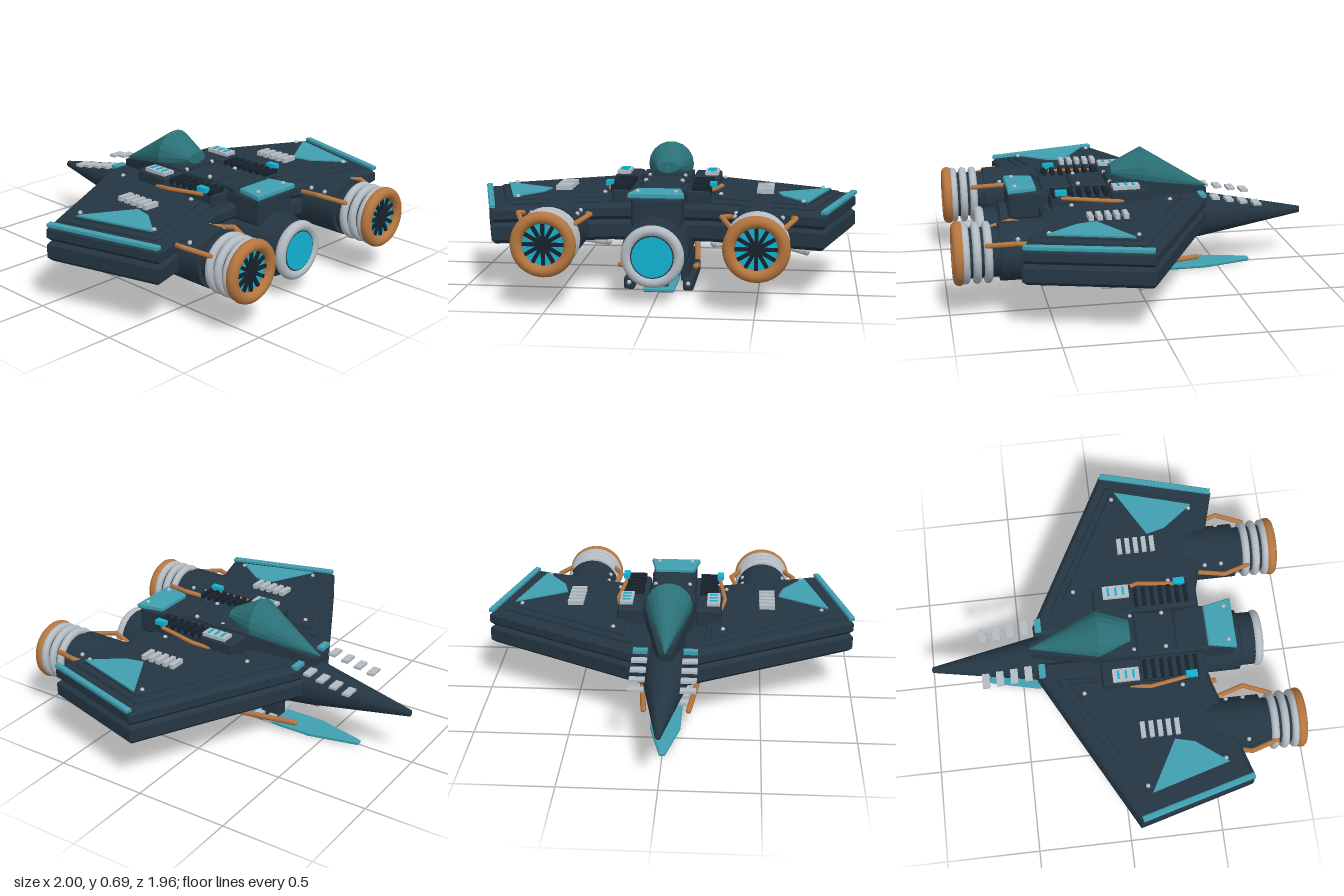
import * as THREE from 'three';
import { toCreasedNormals } from 'three/addons/utils/BufferGeometryUtils.js';
import { RoundedBoxGeometry } from 'three/addons/geometries/RoundedBoxGeometry.js';

const paint = (name, color) => {
  const m = new THREE.MeshStandardMaterial({ color });
  m.name = name;
  return m;
};
const M = {
  hull: paint('navy hull', 0x243643),
  trim: paint('black trim', 0x17222b),
  belly: paint('belly grey', 0x41444e),
  teal: paint('teal panel', 0x3f9fb0),
  glass: paint('canopy teal', 0x2a7076),
  copper: paint('copper', 0xb5763f),
  metal: paint('light metal', 0xb4bcc3),
  glow: paint('cyan glow', 0x12b2d2),
};

export function createModel() {
  const root = new THREE.Group();
  root.name = 'spacecraft';

  const add = (name, geo, mat, x = 0, y = 0, z = 0, parent = root) => {
    const m = new THREE.Mesh(geo, mat);
    m.name = name;
    m.position.set(x, y, z);
    parent.add(m);
    return m;
  };
  const box = (name, mat, w, h, d, x, y, z, r = 0) =>
    add(name, r ? new RoundedBoxGeometry(w, h, d, 2, r) : new THREE.BoxGeometry(w, h, d), mat, x, y, z);
  const bolt = (x, y, z, r = 0.012) => add('bolt', new THREE.SphereGeometry(r, 8, 6), M.metal, x, y, z);

  // Plan outline [x, z] raised from y0 to y1 with bevelled edges
  const slab = (name, mat, pts, y0, y1, bevel, s = 1) => {
    const shape = new THREE.Shape(pts.map(([x, z]) => new THREE.Vector2(x * s, -z)));
    const geo = new THREE.ExtrudeGeometry(shape, {
      depth: y1 - y0 - 2 * bevel, bevelEnabled: bevel > 0, bevelSize: bevel,
      bevelThickness: bevel, bevelOffset: -bevel, bevelSegments: 1,
    });
    geo.rotateX(-Math.PI / 2);
    return add(name, geo, mat, 0, y0 + bevel, 0);
  };

  // Skin over cross-sections [z, centreY, radiusX, radiusY], listed in rising z
  const loft = (name, mat, rows, n, turn = 0, crease = 0.5) => {
    const pos = [], idx = [];
    rows.forEach(([z, cy, rx, ry]) => {
      for (let j = 0; j < n; j++) {
        const a = turn + (j / n) * Math.PI * 2;
        pos.push(Math.cos(a) * rx, cy + Math.sin(a) * ry, z);
      }
    });
    for (let i = 0; i < rows.length - 1; i++)
      for (let j = 0; j < n; j++) {
        const a = i * n + j, b = i * n + ((j + 1) % n);
        idx.push(a, b, b + n, a, b + n, a + n);
      }
    const geo = new THREE.BufferGeometry();
    geo.setAttribute('position', new THREE.Float32BufferAttribute(pos, 3));
    geo.setIndex(idx);
    return add(name, toCreasedNormals(geo, crease), mat);
  };

  // Straight-sectioned tube through points
  const pipe = (name, mat, pts, r) => {
    const path = new THREE.CurvePath();
    const v = pts.map((p) => new THREE.Vector3(...p));
    for (let i = 0; i < v.length - 1; i++) path.add(new THREE.LineCurve3(v[i], v[i + 1]));
    v.forEach((p) => add(name + 'Joint', new THREE.SphereGeometry(r, 8, 6), mat, p.x, p.y, p.z));
    return add(name, new THREE.TubeGeometry(path, 24, r, 8), mat);
  };
  const drum = (name, mat, r, z0, z1, x, y, n = 32) =>
    add(name, new THREE.CylinderGeometry(r, r, z1 - z0, n).rotateX(Math.PI / 2), mat, x, y, (z0 + z1) / 2);
  const ring = (name, mat, r, t, x, y, z) => add(name, new THREE.TorusGeometry(r, t, 12, 36), mat, x, y, z);

  // Fuselage with needle nose and centre exhaust
  loft('fuselage', M.hull, [
    [-0.98, 0.29, 0.001, 0.001], [-0.975, 0.29, 0.015, 0.018], [-0.4, 0.297, 0.12, 0.124],
    [0.15, 0.268, 0.165, 0.165], [0.3, 0.25, 0.165, 0.168], [0.7, 0.25, 0.165, 0.168],
    [0.71, 0.25, 0.145, 0.145], [0.82, 0.25, 0.145, 0.145], [0.82, 0.25, 0.001, 0.001],
  ], 28);
  ring('centreExhaustRing', M.metal, 0.128, 0.027, 0, 0.25, 0.805);
  drum('centreExhaustGlow', M.glow, 0.1, 0.815, 0.824, 0, 0.25);

  // Canopy, its wedge frame and the spine behind it
  loft('canopy', M.glass, [
    [-0.44, 0.46, 0.001, 0.001], [-0.07, 0.57, 0.123, 0.123],
    [0.1, 0.575, 0.06, 0.03], [0.1, 0.575, 0.001, 0.001],
  ], 18, 0, 0.05);
  loft('canopyFrame', M.hull, [
    [-0.43, 0.43, 0.001, 0.001], [-0.43, 0.43, 0.045, 0.035], [-0.05, 0.47, 0.185, 0.1],
    [0.12, 0.47, 0.185, 0.1], [0.12, 0.47, 0.001, 0.001],
  ], 4, Math.PI / 4, 0.2);
  box('spine', M.hull, 0.25, 0.15, 0.55, 0, 0.435, 0.385, 0.02);
  slab('spinePlate', M.hull, [[-0.12, 0.13], [0.12, 0.13], [0.1, 0.32], [-0.1, 0.32]], 0.49, 0.535, 0.01);
  slab('spinePlate', M.hull, [[-0.1, 0.34], [0.1, 0.34], [0.125, 0.48], [-0.125, 0.48]], 0.49, 0.53, 0.01);
  slab('tailPlate', M.teal, [[-0.11, 0.51], [0.11, 0.51], [0.14, 0.66], [-0.14, 0.66]], 0.505, 0.535, 0.006);

  // Keel blade with its struts
  slab('keelBlade', M.teal, [[-0.08, 0.55], [0.08, 0.55], [0.08, -0.42], [0.015, -0.69], [-0.015, -0.69], [-0.08, -0.42]], 0.005, 0.028, 0.006);
  box('frontKeelStrut', M.hull, 0.08, 0.13, 0.1, 0, 0.085, -0.15);
  box('rearKeelStrut', M.hull, 0.09, 0.1, 0.36, 0, 0.065, 0.33);

  const wing = [[0.08, -0.4], [0.13, -0.41], [0.995, 0.05], [0.825, 0.665], [0.25, 0.5], [0.08, 0.5]];
  const panel = [[0.19, -0.31], [0.91, 0.075], [0.765, 0.58], [0.23, 0.44]];
  const inset = [[0.22, -0.25], [0.87, 0.1], [0.735, 0.545], [0.27, 0.39]];

  for (const s of [1, -1]) {
    // Wing from stacked slabs, with teal tip details
    slab('wingLower', M.hull, wing, 0.26, 0.367, 0.02, s);
    slab('wingUpper', M.hull, wing, 0.365, 0.447, 0.02, s);
    slab('wingPanel', M.hull, panel, 0.44, 0.463, 0.008, s);
    slab('wingInset', M.hull, inset, 0.455, 0.478, 0.008, s);
    slab('tipPanel', M.teal, [[0.86, 0.12], [0.59, 0.27], [0.615, 0.37], [0.74, 0.535]], 0.476, 0.485, 0, s);
    slab('tipStrip', M.teal, [[0.97, 0.05], [1, 0.06], [0.835, 0.66], [0.805, 0.655]], 0.44, 0.465, 0.005, s);
    slab('bellyPanel', M.belly, panel, 0.253, 0.262, 0, s);
    for (const [x, z] of [[0.29, -0.17], [0.82, 0.1], [0.72, 0.52], [0.3, 0.35]]) bolt(s * x, 0.48, z);
    for (let i = 0; i < 5; i++) box('wingVent', M.metal, 0.085, 0.025, 0.025, s * 0.525, 0.49, 0.11 + i * 0.045);

    // Underwing pod held by rods
    box('pod', M.teal, 0.13, 0.075, 0.19, s * 0.52, 0.19, 0.235, 0.008);
    box('podSensor', M.metal, 0.07, 0.05, 0.09, s * 0.52, 0.13, 0.2, 0.018);
    for (const [x, z] of [[0.21, -0.26], [0.88, 0.1], [0.74, 0.56], [0.27, 0.43]]) {
      pipe('podRod', M.metal, [[s * 0.52, 0.215, 0.235], [s * x, 0.23, z]], 0.012);
      bolt(s * x, 0.24, z, 0.018);
    }

    // Shoulder block with lit module, cooling ribs and conduit
    box('shoulderBlock', M.hull, 0.14, 0.11, 0.21, s * 0.21, 0.485, 0.035, 0.015);
    box('shoulderDeck', M.hull, 0.12, 0.08, 0.34, s * 0.19, 0.47, 0.28, 0.01);
    box('module', M.metal, 0.07, 0.022, 0.14, s * 0.235, 0.547, 0.055);
    for (let i = 0; i < 3; i++) box('moduleLight', M.glow, 0.045, 0.006, 0.012, s * 0.235, 0.56, 0.015 + i * 0.04);
    for (let i = 0; i < 7; i++) box('coolingRib', M.trim, 0.1, 0.03, 0.02, s * 0.205, 0.52, 0.16 + i * 0.045);
    box('deckLight', M.glow, 0.035, 0.025, 0.06, s * 0.265, 0.54, 0.4);
    pipe('conduit', M.copper, [[s * 0.275, 0.48, 0.08], [s * 0.295, 0.495, 0.18], [s * 0.265, 0.51, 0.39]], 0.011);
    for (const z of [0.115, 0.285, 0.62]) bolt(s * 0.095, 0.535, z);

    // Nose fins
    for (let i = 0; i < 4; i++) box('noseFin', M.metal, 0.08, 0.014, 0.04, s * 0.13, 0.385 + i * 0.015, -0.685 + i * 0.077);
    box('noseRootPlate', M.teal, 0.075, 0.02, 0.035, s * 0.13, 0.447, -0.38);

    // Engine nacelle, exhaust rings and fan
    const ex = s * 0.505, ey = 0.33;
    drum('nacelle', M.hull, 0.147, 0.4, 0.745, ex, ey);
    drum('nacelleThroat', M.hull, 0.125, 0.74, 0.935, ex, ey);
    for (const z of [0.805, 0.86, 0.915]) ring('coolingRing', M.metal, 0.134, 0.021, ex, ey, z);
    ring('exhaustLip', M.copper, 0.13, 0.03, ex, ey, 0.947);
    drum('exhaustGlow', M.glow, 0.104, 0.934, 0.942, ex, ey);
    drum('fanHub', M.trim, 0.03, 0.94, 0.962, ex, ey, 16);
    for (let i = 0; i < 12; i++) {
      const a = (i / 12) * Math.PI * 2;
      const blade = box('fanBlade', M.trim, 0.085, 0.018, 0.012, ex + Math.cos(a) * 0.063, ey + Math.sin(a) * 0.063, 0.947);
      blade.rotation.z = a;
    }
    for (const k of [1, -1]) {
      pipe('enginePipe', M.copper, [[ex + k * 0.14, 0.4, 0.52], [ex + k * 0.18, 0.425, 0.67], [ex + k * 0.13, 0.405, 0.81]], 0.013);
      for (const z of [0.57, 0.66]) bolt(ex + k * 0.115, 0.425, z);
    }

    // Belly rails, fuel lines and keel bars
    box('bellyRail', M.hull, 0.055, 0.065, 0.44, s * 0.15, 0.05, 0.33, 0.012);
    box('railMount', M.hull, 0.04, 0.1, 0.36, s * 0.13, 0.11, 0.33);
    bolt(s * 0.15, 0.055, 0.55);
    pipe('fuelLine', M.copper, [[s * 0.19, 0.15, 0.56], [s * 0.165, 0.055, 0.14], [s * 0.12, 0.09, -0.36]], 0.015);
    for (let i = 0; i < 4; i++) box('keelBar', M.metal, 0.07, 0.016, 0.045, s * 0.075, 0.04, 0.06 - i * 0.08);
  }
  return root;
}
